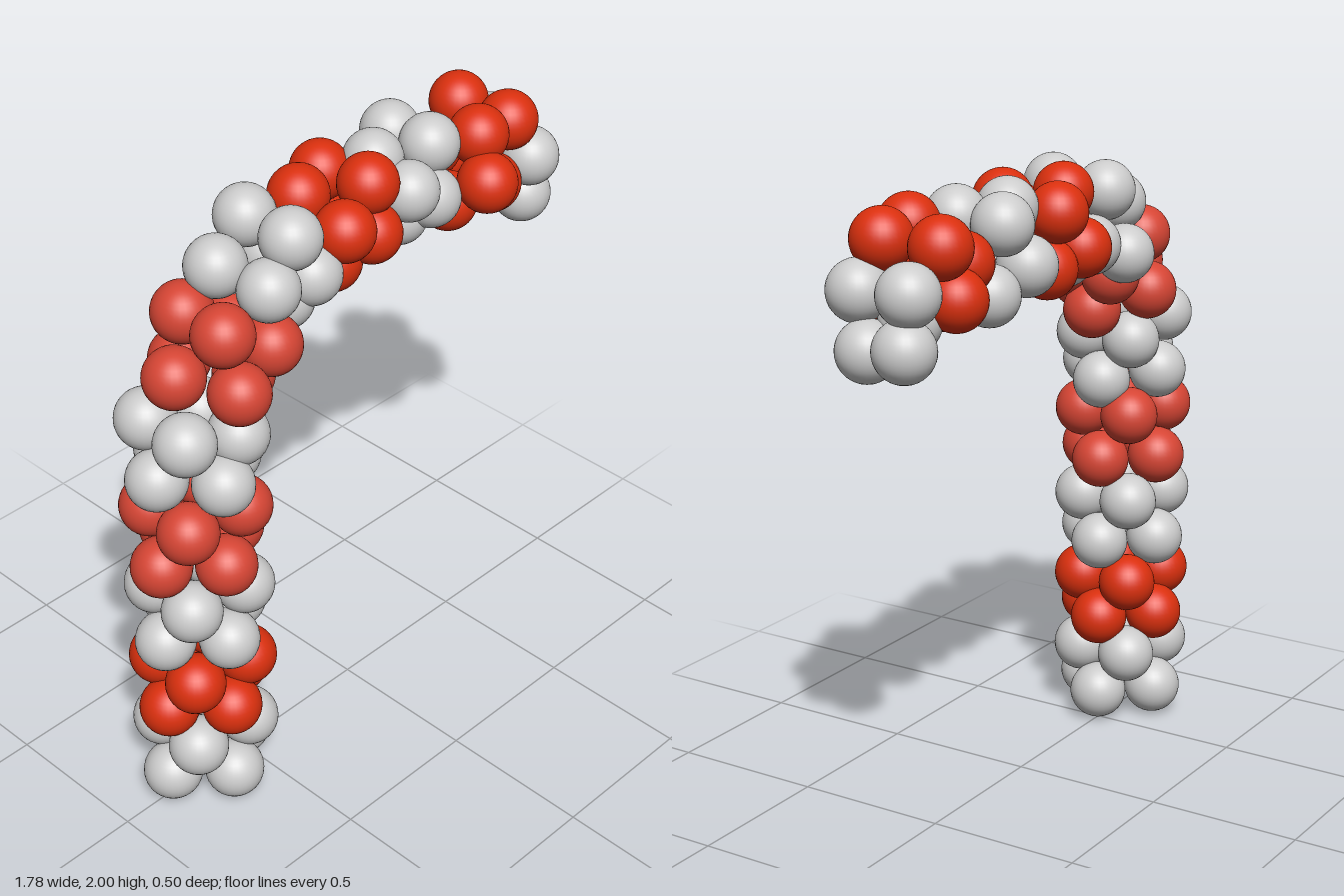
import * as THREE from 'three';

const RADIUS = 0.095;

export function createModel() {
  const model = new THREE.Group();
  model.name = 'segmentedArm';

  const material = (name, color) => {
    const m = new THREE.MeshStandardMaterial({ color });
    m.name = name;
    return m;
  };
  const gray = material('light gray', 0xcccccc);
  const red = material('bright red', 0xdb300e);
  const softRed = material('soft red', 0xd64534);
  const ball = new THREE.SphereGeometry(RADIUS, 32, 20);

  // One band of the arm: a group of equal balls
  const band = (name, mat, points) => {
    const group = new THREE.Group();
    group.name = name;
    points.forEach(([x, y, z]) => {
      const mesh = new THREE.Mesh(ball, mat);
      mesh.name = 'ball';
      mesh.position.set(x, y, z);
      group.add(mesh);
    });
    model.add(group);
  };

  // Four balls around a centre, leaning towards +x by tilt
  const ring = (x, y, tilt, turn) => [0, 1, 2, 3].map((i) => {
    const a = turn + i * Math.PI / 2;
    const across = 0.145 * Math.cos(a);
    return [x + across * Math.cos(tilt), y - across * Math.sin(tilt), 0.006 + 0.13 * Math.sin(a)];
  });
  const square = 0.02;
  const diagonal = Math.PI / 4 + 0.07;

  // Upright column and elbow: name, material, then centre and tilt of both rings
  [
    ['base', gray, -0.655, 0.1, 0, -0.655, 0.24, 0],
    ['lowerRedBand', red, -0.655, 0.372, 0, -0.655, 0.5, 0],
    ['lowerGrayBand', gray, -0.655, 0.645, 0, -0.655, 0.79, 0],
    ['middleRedBand', softRed, -0.655, 0.935, 0, -0.655, 1.09, 0],
    ['upperGrayBand', gray, -0.655, 1.235, 0.17, -0.655, 1.38, 0.28],
    ['elbow', softRed, -0.58, 1.52, 0.41, -0.505, 1.65, 0.55],
  ].forEach(([name, mat, x1, y1, t1, x2, y2, t2]) =>
    band(name, mat, [...ring(x1, y1, t1, square), ...ring(x2, y2, t2, diagonal)]));

  // Irregular horizontal arm, two twisted rings per band
  band('shoulderBand', gray, [
    [-0.48, 1.82, -0.06], [-0.415, 1.775, 0.09], [-0.37, 1.68, -0.155], [-0.29, 1.66, 0.02],
    [-0.31, 1.895, 0.075], [-0.305, 1.89, -0.12], [-0.225, 1.735, 0.07], [-0.22, 1.73, -0.12],
  ]);
  band('armRedBand', red, [
    [-0.135, 1.905, -0.07], [-0.105, 1.835, 0.09], [-0.085, 1.75, -0.165], [-0.07, 1.68, 0],
    [0.055, 1.905, 0.03], [0.04, 1.755, 0.06], [0.055, 1.705, -0.13], [0.045, 1.88, -0.16],
  ]);
  band('armGrayBand', gray, [
    [0.17, 1.905, -0.06], [0.195, 1.835, 0.065], [0.225, 1.75, -0.165], [0.24, 1.7, -0.02],
    [0.36, 1.905, -0.005], [0.35, 1.895, -0.16], [0.31, 1.76, 0.05], [0.36, 1.68, -0.12],
  ]);
  band('wristRedBand', red, [
    [0.455, 1.79, 0.15], [0.51, 1.9, 0.06], [0.485, 1.8, -0.11], [0.445, 1.67, 0],
    [0.665, 1.885, 0.045], [0.66, 1.88, -0.155], [0.58, 1.705, 0.06], [0.585, 1.715, -0.155],
  ]);
  band('tip', gray, [
    [0.735, 1.745, 0.08], [0.785, 1.765, -0.13], [0.765, 1.58, 0.03], [0.795, 1.605, -0.12],
    [0.665, 1.655, -0.05],
  ]);

  return model;
}
